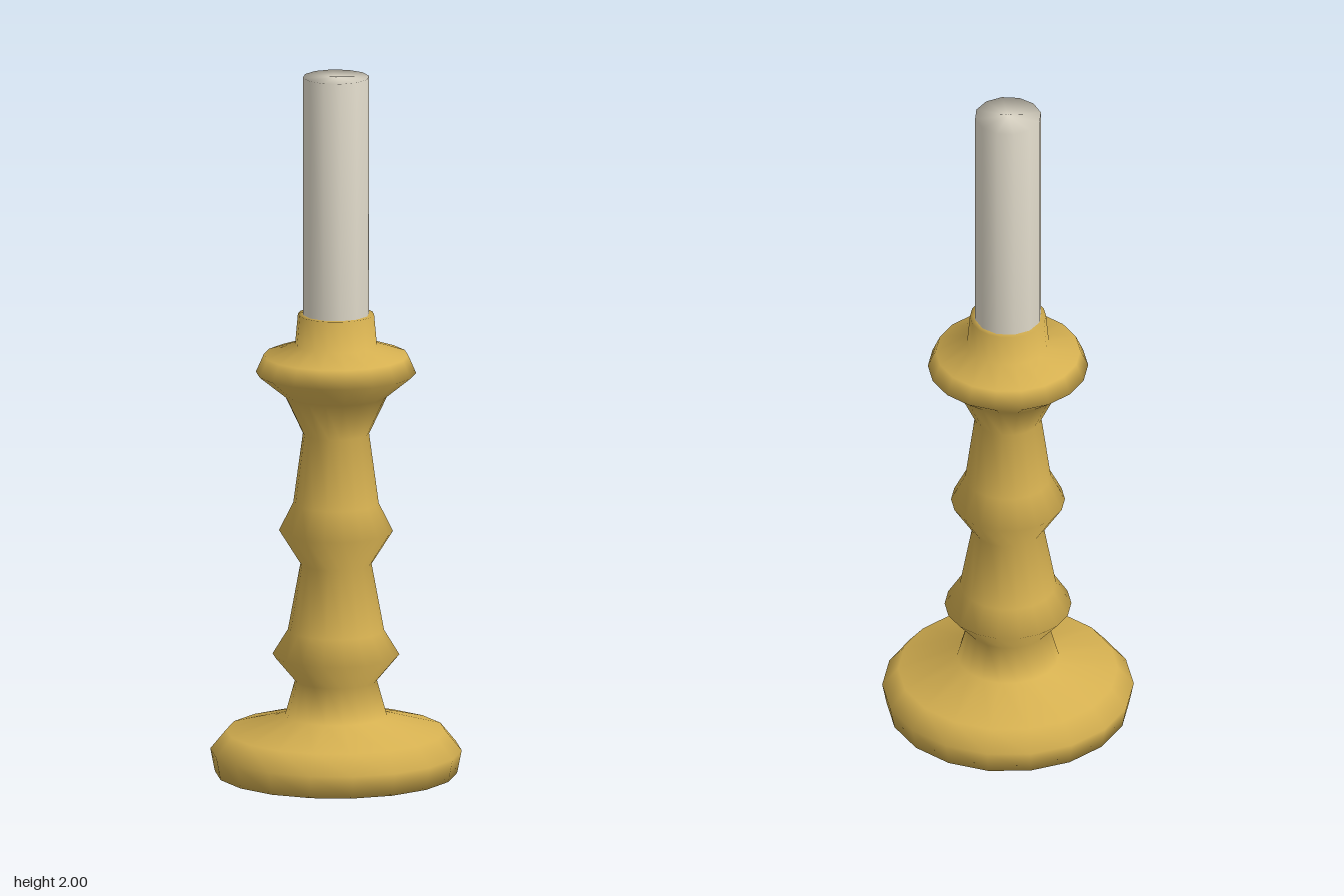
import * as THREE from 'three';

// Turned part from [radius, height] pairs listed bottom to top
function turned(name, profile, sides, color) {
  const points = profile.map(([r, y]) => new THREE.Vector2(r, y));
  const geometry = new THREE.LatheGeometry(points, sides, Math.PI / 2);
  const mesh = new THREE.Mesh(geometry, new THREE.MeshStandardMaterial({ color }));
  mesh.name = name;
  return mesh;
}

export function createModel() {
  const group = new THREE.Group();
  group.name = 'candlestick';

  // Brass holder: foot, two beads on the stem, drip pan and socket
  group.add(turned('holder', [
    [0, 0], [0.34, 0], [0.353, 0.065], [0.308, 0.12], [0.143, 0.165],
    [0.115, 0.265], [0.178, 0.34], [0.135, 0.41],
    [0.1, 0.6], [0.16, 0.695], [0.12, 0.775],
    [0.093, 0.975], [0.145, 1.085],
    [0.225, 1.15], [0.203, 1.2], [0.115, 1.23],
    [0.107, 1.318], [0.085, 1.318],
  ], 18, 0xd4af50));

  // Candle standing in the socket
  group.add(turned('candle', [[0.094, 1.3], [0.094, 2], [0, 2]], 12, 0xded8c8));

  return group;
}
